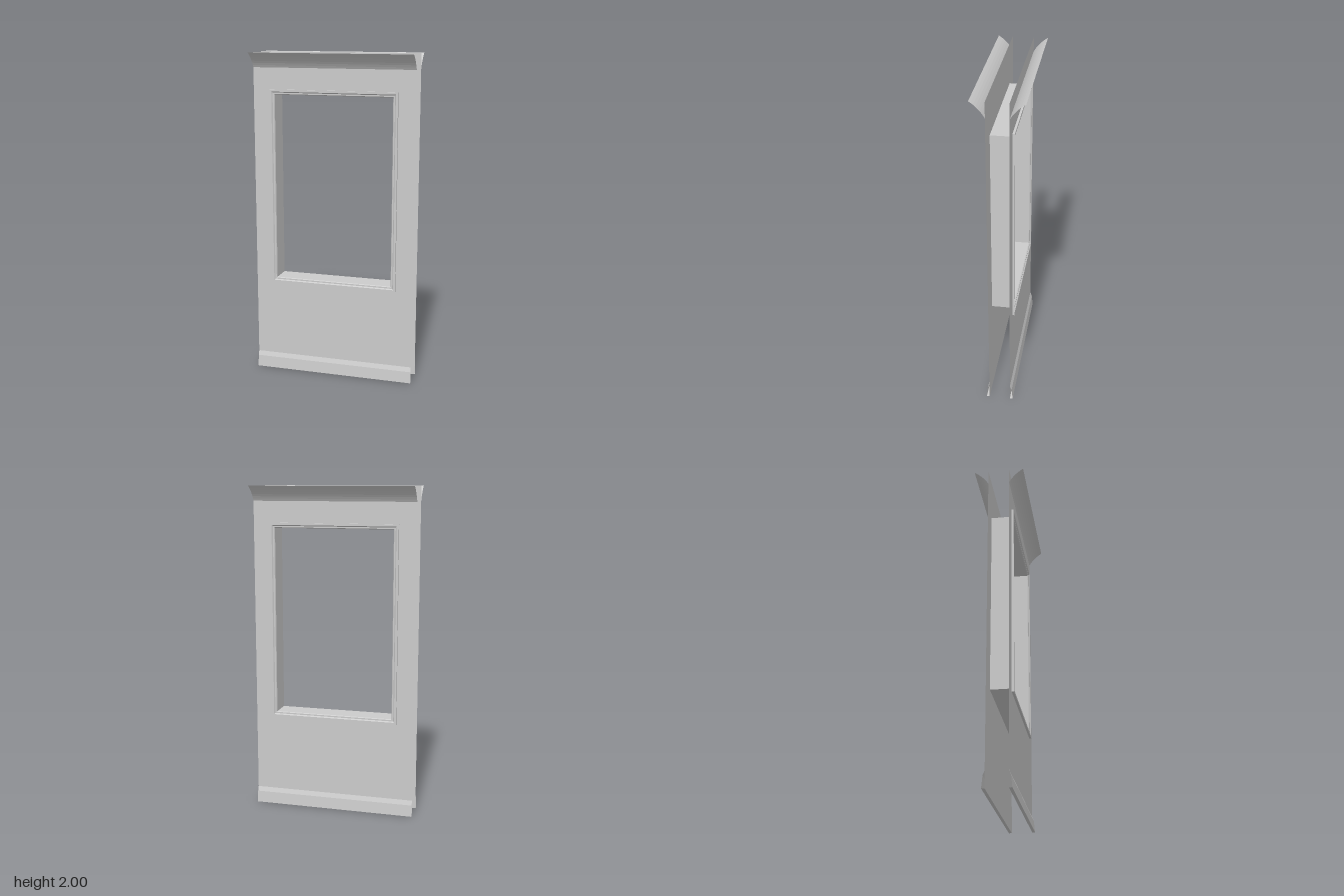
import * as THREE from 'three';

const W = 0.5, H = 2, WALL_Z = 0.064;
const OPEN = { x: 0.365, y0: 0.607, y1: 1.75 };

const material = new THREE.MeshStandardMaterial({ color: 0xcccccc, side: THREE.DoubleSide });

function makeMesh(name, geometry) {
  const mesh = new THREE.Mesh(geometry, material);
  mesh.name = name;
  return mesh;
}

// Non-indexed quads (corners counter-clockwise seen from outside) with flat normals
function quadGeometry(quads) {
  const pos = [];
  for (const [a, b, c, d] of quads) pos.push(...a, ...b, ...c, ...a, ...c, ...d);
  const g = new THREE.BufferGeometry();
  g.setAttribute('position', new THREE.Float32BufferAttribute(pos, 3));
  g.computeVertexNormals();
  return g;
}

// Runs a [y, z] profile, listed bottom to top, along the full wall width
function moulding(profile) {
  const quads = [];
  for (let i = 0; i < profile.length - 1; i++) {
    const [y0, z0] = profile[i], [y1, z1] = profile[i + 1];
    quads.push([[-W, y0, z0], [W, y0, z0], [W, y1, z1], [-W, y1, z1]]);
  }
  return quadGeometry(quads);
}

// Runs an [outset from opening, z] profile around the opening with mitred corners
function surround(profile) {
  const ring = ([o, z]) => [
    [-OPEN.x - o, OPEN.y0 - o, z], [OPEN.x + o, OPEN.y0 - o, z],
    [OPEN.x + o, OPEN.y1 + o, z], [-OPEN.x - o, OPEN.y1 + o, z],
  ];
  const quads = [];
  for (let i = 0; i < profile.length - 1; i++) {
    const a = ring(profile[i]), b = ring(profile[i + 1]);
    for (let k = 0; k < 4; k++) {
      const n = (k + 1) % 4;
      quads.push([a[k], a[n], b[n], b[k]]);
    }
  }
  return quadGeometry(quads);
}

// Flat wall sheet with the window opening cut out
function wallSheet() {
  const shape = new THREE.Shape();
  shape.moveTo(-W, 0).lineTo(W, 0).lineTo(W, H).lineTo(-W, H).closePath();
  const hole = new THREE.Path();
  hole.moveTo(-OPEN.x, OPEN.y0).lineTo(-OPEN.x, OPEN.y1)
    .lineTo(OPEN.x, OPEN.y1).lineTo(OPEN.x, OPEN.y0).closePath();
  shape.holes.push(hole);
  return new THREE.ShapeGeometry(shape).translate(0, 0, WALL_Z);
}

// Shallow cove flaring out from the wall to the ceiling line
function crownProfile() {
  const curve = new THREE.QuadraticBezierCurve(
    new THREE.Vector2(1.91, WALL_Z), new THREE.Vector2(1.967, 0.096), new THREE.Vector2(H, 0.15));
  return curve.getPoints(8).map((p) => [p.x, p.y]);
}

// One complete face of the wall with its trim
function wallFace(name) {
  const face = new THREE.Group();
  face.name = name;
  face.add(
    makeMesh('wallPanel', wallSheet()),
    makeMesh('crownMoulding', moulding(crownProfile())),
    makeMesh('baseboard', moulding([[0, WALL_Z], [0, 0.082], [0.07, 0.075], [0.098, WALL_Z]])),
    makeMesh('windowTrim', surround([
      [0.031, WALL_Z], [0.031, 0.077], [0.018, 0.077], [0.012, 0.07], [0.004, 0.07], [0, WALL_Z],
    ])),
  );
  return face;
}

export function createModel() {
  const model = new THREE.Group();
  model.name = 'windowWall';

  // Identical faces, back to back
  const front = wallFace('frontFace');
  const back = wallFace('backFace');
  back.rotation.y = Math.PI;

  // Lining of the opening between the two faces
  const reveal = makeMesh('windowReveal', surround([[0, WALL_Z], [0, -WALL_Z]]));

  model.add(front, back, reveal);
  return model;
}
